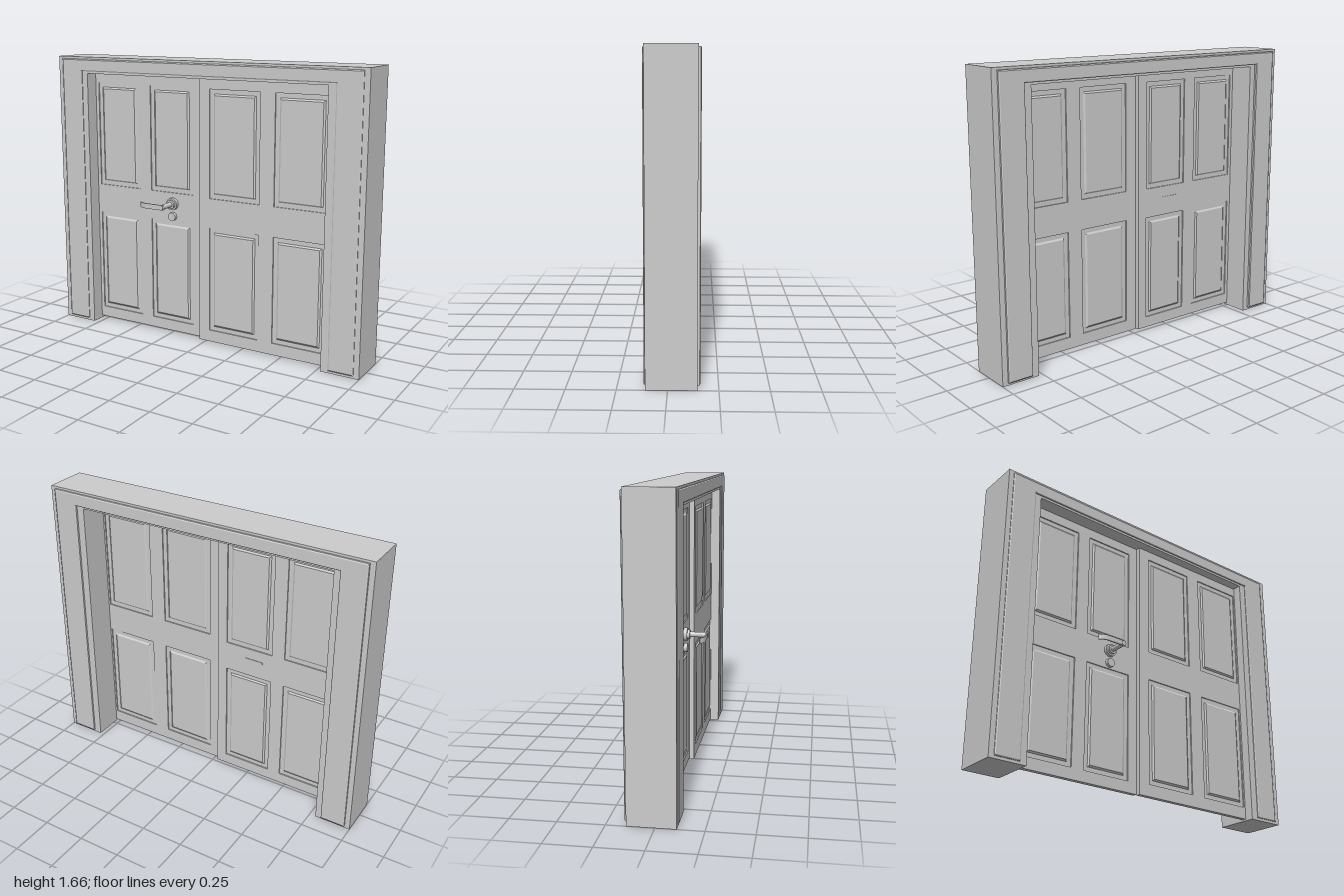
import * as THREE from 'three';

const mat = new THREE.MeshStandardMaterial({ color: 0xcccccc, flatShading: true });
const smooth = new THREE.MeshStandardMaterial({ color: 0xcccccc });

function add(parent, name, geometry, x = 0, y = 0, z = 0, material = mat) {
  const mesh = new THREE.Mesh(geometry, material);
  mesh.name = name;
  mesh.position.set(x, y, z);
  parent.add(mesh);
  return mesh;
}

function rect(x0, x1, y0, y1, Type = THREE.Shape) {
  const s = new Type();
  s.moveTo(x0, y0);
  s.lineTo(x1, y0);
  s.lineTo(x1, y1);
  s.lineTo(x0, y1);
  s.closePath();
  return s;
}

// Upside-down U: outer edges xo0..xo1 and top yo, inner edges xi0..xi1 and top yi
function arch(xo0, xo1, yo, xi0, xi1, yi, y0) {
  return new THREE.Shape([
    [xo0, y0], [xi0, y0], [xi0, yi], [xi1, yi], [xi1, y0], [xo1, y0], [xo1, yo], [xo0, yo],
  ].map(([x, y]) => new THREE.Vector2(x, y)));
}

const flat = (shape, depth) => new THREE.ExtrudeGeometry(shape, { depth, bevelEnabled: false });

// Disc whose axis points along z
function disc(r, depth, sides = 32) {
  return new THREE.CylinderGeometry(r, r, depth, sides).rotateX(Math.PI / 2);
}

// One door leaf with recessed surrounds and bevelled raised fields on both faces
function makeLeaf(name, x0, x1, y0, zBack, columns) {
  const leaf = new THREE.Group();
  leaf.name = name;
  const thick = 0.027, recess = 0.007, top = 1.565;
  const rows = [[0.08, 0.705], [0.88, 1.508]];
  const board = rect(x0, x1, y0, top);
  for (const [a, b] of columns) {
    for (const [c, d] of rows) {
      board.holes.push(rect(a, b, c, d, THREE.Path));
      add(leaf, 'panelRecess', new THREE.BoxGeometry(b - a, d - c, thick - 2 * recess),
        (a + b) / 2, (c + d) / 2, zBack + thick / 2);
      const i = 0.036;
      const field = new THREE.ExtrudeGeometry(rect(a + i, b - i, c + i, d - i), {
        depth: thick - 2 * recess, bevelThickness: recess, bevelSize: 0.01, bevelOffset: 0, bevelSegments: 1,
      });
      add(leaf, 'raisedField', field, 0, 0, zBack + recess);
    }
  }
  add(leaf, 'leafBoard', flat(board, thick), 0, 0, zBack);
  return leaf;
}

function makeHandle() {
  const handle = new THREE.Group();
  handle.name = 'handle';
  const x = -0.233, y = 0.815, face = 0.03;
  add(handle, 'rose', disc(0.036, 0.02), x, y, face + 0.01);
  add(handle, 'roseCollar', disc(0.026, 0.016), x, y, face + 0.026);
  add(handle, 'spindle', disc(0.015, 0.125), x, y, face + 0.0725);
  add(handle, 'keyRose', disc(0.025, 0.02), x, 0.738, face + 0.01);
  // Flat lever curving back towards the door at its tip
  const lever = new THREE.Shape();
  lever.moveTo(-0.22, 0.163);
  lever.lineTo(-0.34, 0.163);
  lever.quadraticCurveTo(-0.37, 0.16, -0.392, 0.14);
  lever.lineTo(-0.388, 0.134);
  lever.quadraticCurveTo(-0.365, 0.154, -0.34, 0.155);
  lever.lineTo(-0.22, 0.155);
  lever.closePath();
  const g = new THREE.ExtrudeGeometry(lever, { depth: 0.03, bevelEnabled: false, curveSegments: 8 });
  g.rotateX(Math.PI / 2);
  add(handle, 'lever', g, 0, 0.83, 0, smooth);
  // Shallow plate on the back of the leaf
  add(handle, 'backPlate', new THREE.BoxGeometry(0.11, 0.012, 0.006), -0.275, 0.81, 0.003);
  return handle;
}

export function createModel() {
  const model = new THREE.Group();
  model.name = 'doubleDoor';

  // Deep wall frame
  add(model, 'frame', flat(arch(-1, 1, 1.665, -0.787, 0.775, 1.567, 0), 0.255), 0, 0, -0.145);

  // Raised casing on the front and back faces
  const bevel = 0.006;
  const casing = (depth) => new THREE.ExtrudeGeometry(
    arch(-0.97, 0.968, 1.652, -0.825, 0.82, 1.58, 0.015),
    { depth, bevelThickness: 0.004, bevelSize: bevel, bevelOffset: -bevel, bevelSegments: 1 });
  add(model, 'frontCasing', casing(0.01), 0, 0, 0.104);
  add(model, 'backCasing', casing(0.02), 0, 0, -0.156);

  // Leaves, the right-hand one standing slightly forward
  model.add(makeLeaf('handleLeaf', -0.787, -0.035, 0.015, 0.003, [[-0.765, -0.468], [-0.388, -0.095]]));
  model.add(makeLeaf('fixedLeaf', -0.035, 0.775, 0.01, 0.03, [[0.035, 0.355], [0.447, 0.765]]));

  model.add(makeHandle());
  return model;
}
